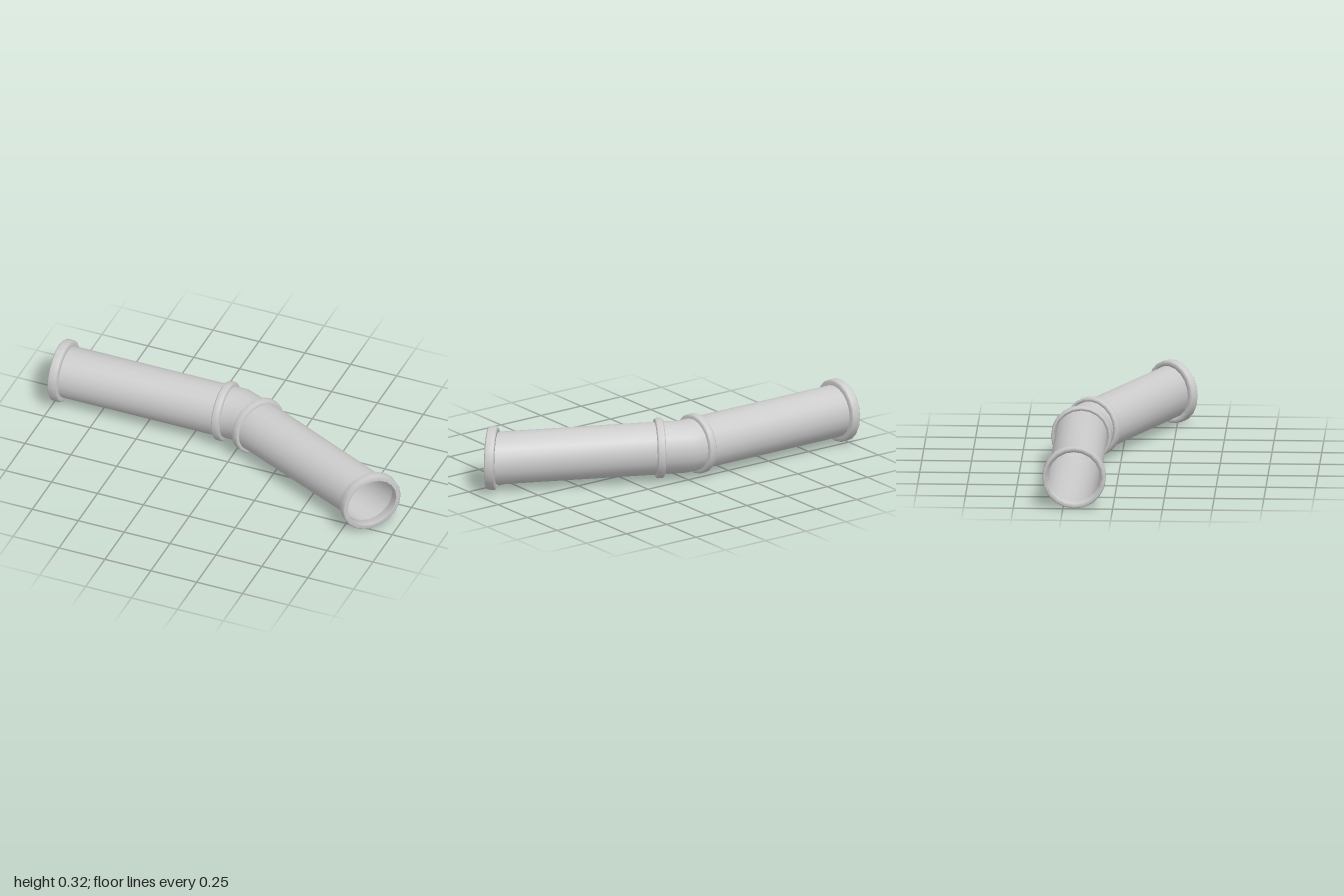
import * as THREE from 'three';

const SIDES = 20, R = 0.133, Y = 0.16;
const rad = THREE.MathUtils.degToRad;

// Thin pipe wall lofted through circles [x, z, heading in degrees]
function pipeWall(stations) {
  const pos = [], index = [];
  stations.forEach(([x, z, deg], i) => {
    const t = rad(deg);
    for (let j = 0; j < SIDES; j++) {
      const a = (j / SIDES) * Math.PI * 2, s = R * Math.sin(a);
      pos.push(x - s * Math.sin(t), Y + R * Math.cos(a), z + s * Math.cos(t));
      if (i === stations.length - 1) continue;
      const k = (j + 1) % SIDES, p = i * SIDES, q = p + SIDES;
      index.push(p + j, p + k, q + j, p + k, q + k, q + j);
    }
  });
  const g = new THREE.BufferGeometry();
  g.setAttribute('position', new THREE.Float32BufferAttribute(pos, 3));
  g.setIndex(index);
  g.computeVertexNormals();
  return g;
}

// Ring with softened outer edges, centred on its axis and turned to the heading
function collar(name, x, z, deg, radius, width, material) {
  const h = width / 2, b = 0.007;
  const profile = [
    [R, h], [R, -h], [radius - b, -h], [radius, -h + b],
    [radius, h - b], [radius - b, h], [R, h],
  ].map(([r, y]) => new THREE.Vector2(r, y));
  const g = new THREE.LatheGeometry(profile, SIDES);
  g.rotateZ(-Math.PI / 2).rotateY(-rad(deg));
  const mesh = new THREE.Mesh(g, material);
  mesh.position.set(x, Y, z);
  mesh.name = name;
  return mesh;
}

export function createModel() {
  const group = new THREE.Group();
  group.name = 'bentPipe';
  const material = new THREE.MeshStandardMaterial({ color: 0xcccccc });
  const wallMaterial = new THREE.MeshStandardMaterial({ color: 0xcccccc, side: THREE.DoubleSide });

  // Straight run, bend, then the angled run with its slanted end
  const wall = new THREE.Mesh(pipeWall([
    [-0.95, -0.194, 0], [-0.09, -0.194, 0], [-0.005, -0.194, 2],
    [0.102, -0.142, 30], [0.853, 0.21, 43],
  ]), wallMaterial);
  wall.name = 'pipeWall';
  group.add(wall);

  // Flanges extend past the wall ends; the two middle collars frame the bend
  group.add(
    collar('straightEndFlange', -0.975, -0.194, 0, 0.16, 0.05, material),
    collar('straightCollar', -0.091, -0.194, 0, 0.153, 0.042, material),
    collar('angledCollar', 0.102, -0.142, 30, 0.152, 0.042, material),
    collar('angledEndFlange', 0.87, 0.226, 43, 0.16, 0.05, material),
  );
  return group;
}
